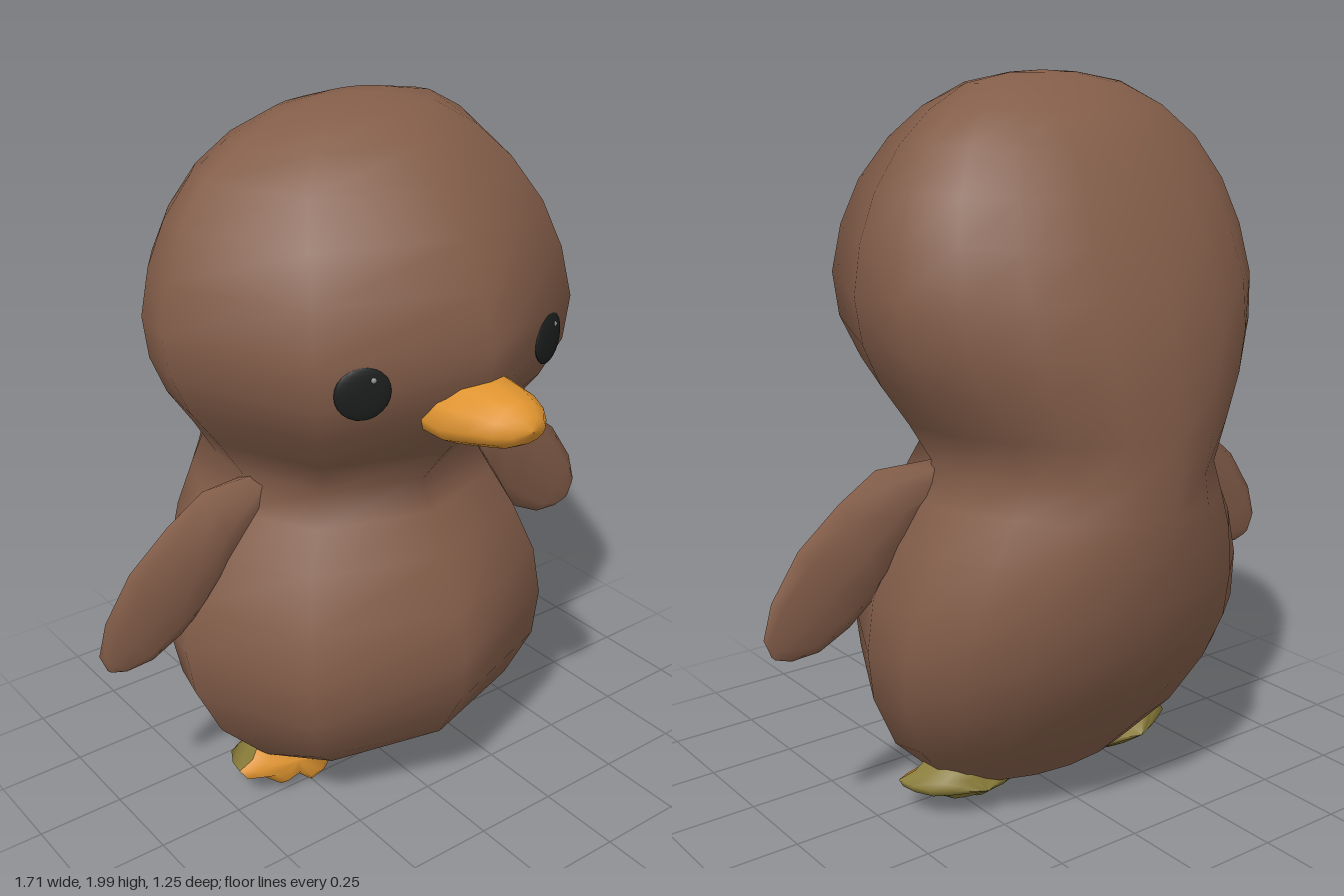
import * as THREE from 'three';

const mat = (name, color, side = THREE.FrontSide) => {
  const m = new THREE.MeshStandardMaterial({ color, side });
  m.name = name;
  return m;
};

// Skins a list of closed rings of [x, y, z] points, turned to face outwards.
function loft(rings) {
  const n = rings[0].length, pos = rings.flat(), idx = [];
  for (let r = 0; r < rings.length - 1; r++) {
    for (let i = 0; i < n; i++) {
      const a = r * n + i, b = r * n + (i + 1) % n;
      idx.push(a, b, b + n, a, b + n, a + n);
    }
  }
  const centre = new THREE.Vector3();
  const v = pos.map(p => new THREE.Vector3(...p));
  v.forEach(p => centre.addScaledVector(p, 1 / v.length));
  v.forEach(p => p.sub(centre));
  let volume = 0;
  for (let i = 0; i < idx.length; i += 3) {
    volume += v[idx[i]].dot(v[idx[i + 1]].clone().cross(v[idx[i + 2]]));
  }
  if (volume < 0) idx.reverse();
  const g = new THREE.BufferGeometry();
  g.setAttribute('position', new THREE.Float32BufferAttribute(pos.flat(), 3));
  g.setIndex(idx);
  g.computeVertexNormals();
  return g;
}

const collapse = (ring, point) => ring.map(() => point);

// Body rows: height, half width, front z, back z, z of the widest point
const BODY = [
  [0.135, 0.37, 0.22, -0.21, -0.03], [0.25, 0.49, 0.31, -0.36, -0.07],
  [0.40, 0.56, 0.395, -0.465, -0.08], [0.54, 0.58, 0.41, -0.54, -0.09],
  [0.68, 0.56, 0.385, -0.58, -0.09], [0.82, 0.50, 0.315, -0.61, -0.09],
  [0.93, 0.43, 0.255, -0.62, -0.09], [1.02, 0.37, 0.22, -0.625, -0.09],
  [1.13, 0.44, 0.31, -0.625, -0.09], [1.24, 0.52, 0.405, -0.615, -0.09],
  [1.35, 0.57, 0.47, -0.60, -0.09], [1.47, 0.59, 0.48, -0.57, -0.09],
  [1.60, 0.57, 0.44, -0.52, -0.09], [1.72, 0.525, 0.375, -0.46, -0.09],
  [1.83, 0.45, 0.28, -0.385, -0.09], [1.91, 0.355, 0.19, -0.31, -0.08],
  [1.97, 0.24, 0.08, -0.21, -0.07], [1.995, 0.10, -0.01, -0.13, -0.07],
  [2.0, 0, -0.07, -0.07, -0.07],
];
// Broad planes at the front, a finer curve at the back
const ANGLES = [-90, -45, 0, 45];
for (let i = 0; i < 10; i++) ANGLES.push(90 + i * 18);

function bodyRing([y, w, front, back, zc], row) {
  return ANGLES.map(deg => {
    const a = deg * Math.PI / 180, c = Math.cos(a);
    const tilt = row === 0 ? 0.045 * c : 0; // the base rises towards the front
    return [-0.01 + w * Math.sin(a), y + tilt, zc + c * (c > 0 ? front - zc : zc - back)];
  });
}

// Wing sections: upper edge x, y, lower edge x, y, half thickness
const WING = [
  [0.35, 1.02, 0.35, 0.92, 0.06], [0.52, 1.02, 0.45, 0.79, 0.06],
  [0.63, 0.95, 0.53, 0.68, 0.045], [0.75, 0.85, 0.61, 0.615, 0.03],
  [0.83, 0.73, 0.70, 0.57, 0.02], [0.855, 0.64, 0.78, 0.565, 0.01],
  [0.835, 0.59, 0.81, 0.575, 0.004],
];
function wing(s) {
  const rings = WING.map(([ux, uy, lx, ly, t]) => Array.from({ length: 8 }, (_, i) => {
    const a = i * Math.PI / 4, k = (1 + Math.cos(a)) / 2;
    return [s * (lx + (ux - lx) * k), ly + (uy - ly) * k, -0.07 + t * Math.sin(a)];
  }));
  rings.unshift(collapse(rings[0], [s * 0.33, 0.97, -0.07]));
  rings.push(collapse(rings[0], [s * 0.825, 0.58, -0.07]));
  return loft(rings);
}

// Toed outline of the foot
const FOOT = [
  [0.07, 0.06], [0.10, 0.035], [0.15, 0.05], [0.19, 0.02], [0.24, 0.01], [0.28, 0.045],
  [0.34, 0.035], [0.385, 0.07], [0.44, 0.085], [0.46, 0.115], [0.41, 0.13],
  [0.38, 0.165], [0.33, 0.17], [0.25, 0.13], [0.15, 0.11], [0.09, 0.09],
];
// Rings shrinking from the outline towards an inner point, at the given depths
function footShell(s, steps, apexZ) {
  const cx = 0.28, cy = 0.095;
  const rings = steps.map(([k, dz]) => FOOT.map(([x, y]) => [
    s * (cx + (x - cx) * k) - 0.012, cy + (y - cy) * k, 0.015 - 0.4 * y * k + dz,
  ]));
  rings.push(collapse(FOOT, [s * cx - 0.012, cy, apexZ]));
  return loft(rings);
}

// Beak rows: z, half width, top, bottom
const BEAK = [
  [0.36, 0.14, 1.405, 1.21], [0.44, 0.14, 1.385, 1.215], [0.52, 0.118, 1.38, 1.235],
  [0.58, 0.09, 1.365, 1.25], [0.615, 0.055, 1.34, 1.27], [0.63, 0.001, 1.306, 1.304],
];
function beak() {
  return loft(BEAK.map(([z, w, top, bottom]) => Array.from({ length: 12 }, (_, i) => {
    const a = i * Math.PI / 6, c = Math.cos(a), mid = bottom + (top - bottom) * 0.4;
    return [-0.01 + w * Math.sin(a), mid + c * (c > 0 ? top - mid : mid - bottom), z];
  })));
}

export function createModel() {
  const group = new THREE.Group();
  const brown = mat('brown plumage', 0x835d49);
  const orange = mat('orange beak and feet', 0xdf9430, THREE.DoubleSide);
  const olive = mat('olive soles', 0x877a38, THREE.DoubleSide);
  const green = mat('green underside', 0x4a6b48, THREE.DoubleSide);
  const black = mat('black eyes', 0x1c1e1e);
  const grey = mat('grey eye glint', 0x8c8c8c);
  const add = (name, geometry, material) => {
    const mesh = new THREE.Mesh(geometry, material);
    mesh.name = name;
    group.add(mesh);
    return mesh;
  };

  // Body and head in one skin, closed by the base
  const rings = BODY.map(bodyRing);
  add('body', loft(rings), brown);
  add('base', loft([rings[0], collapse(rings[0], [-0.01, 0.12, -0.02])]), green);
  add('beak', beak(), orange);

  for (const [side, s] of [['left', 1], ['right', -1]]) {
    add(side + 'Wing', wing(s), brown);
    add(side + 'FootFront', footShell(s, [[1, 0], [0.75, 0.015]], 0.01), orange);
    add(side + 'Sole', footShell(s, [[1, 0], [0.96, -0.05], [0.8, -0.11], [0.5, -0.155]], -0.2), olive);

    // Eyes lie flat on the angled cheek
    const eye = add(side + 'Eye', new THREE.SphereGeometry(1, 20, 12), black);
    eye.scale.set(0.072, 0.07, 0.014);
    eye.position.set(s * 0.302 - 0.01, 1.39, 0.354);
    eye.rotation.y = s * 0.38;
    const glint = add(side + 'EyeGlint', new THREE.SphereGeometry(0.008, 8, 6), grey);
    glint.position.set(s * 0.302 + 0.01, 1.425, 0.363 - s * 0.008);
  }
  return group;
}
